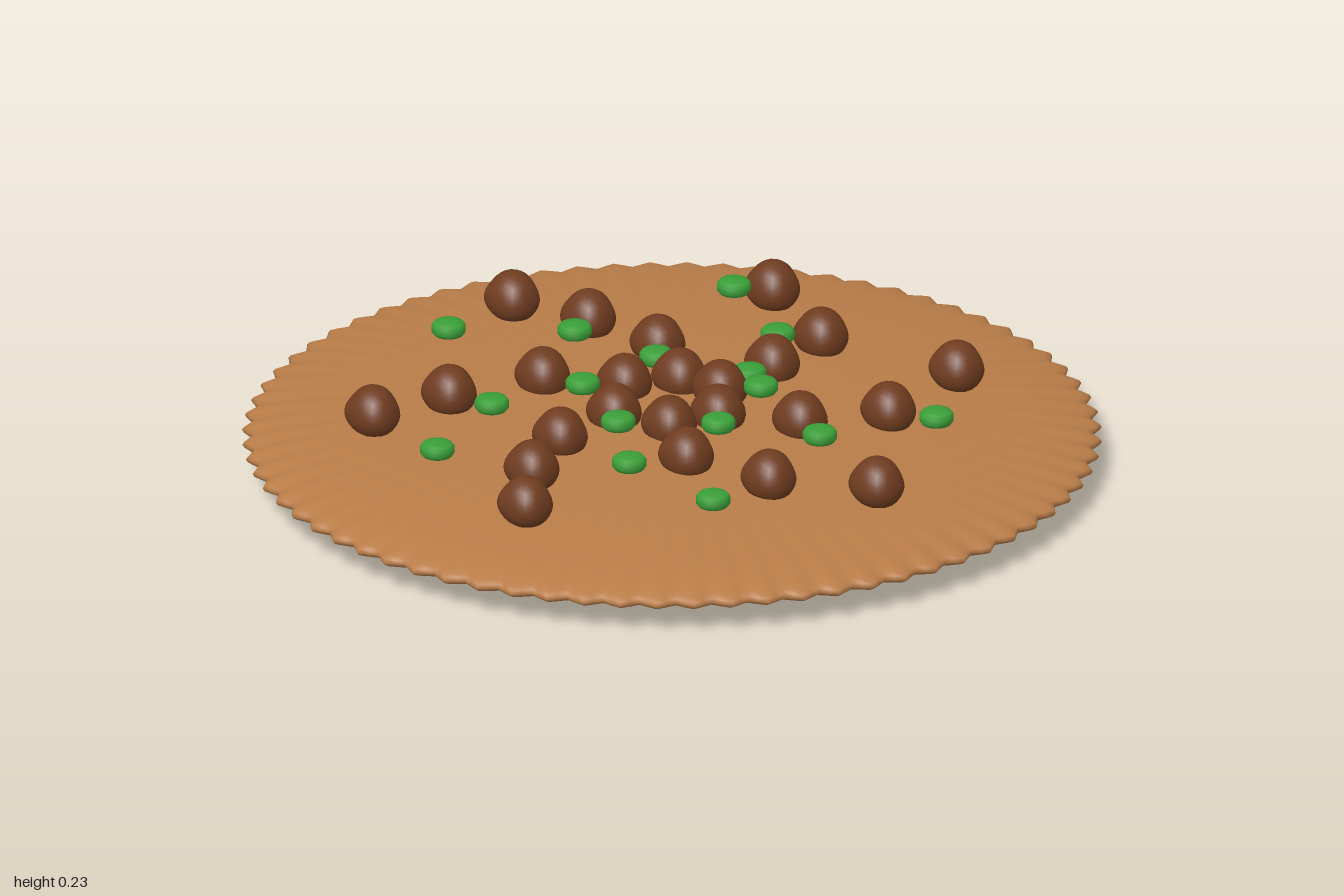
import * as THREE from 'three';
import { mergeVertices } from 'three/addons/utils/BufferGeometryUtils.js';

// Move every vertex by a rule, then weld the seams for smooth normals
function reshape(geometry, rule) {
  geometry.deleteAttribute('uv');
  geometry.deleteAttribute('normal');
  const welded = mergeVertices(geometry, 1e-4);
  const pos = welded.attributes.position;
  const v = new THREE.Vector3();
  for (let i = 0; i < pos.count; i++) {
    rule(v.fromBufferAttribute(pos, i));
    pos.setXYZ(i, v.x, v.y, v.z);
  }
  welded.computeVertexNormals();
  return welded;
}

// Flattened round base with a fluted rim
function crustGeometry() {
  const teeth = 72;
  return reshape(new THREE.SphereGeometry(1, teeth * 4, 32), (v) => {
    const ripple = 0.987 + 0.012 * Math.cos(teeth * Math.atan2(v.z, v.x));
    v.set(v.x * ripple, v.y * 0.073, v.z * ripple);
  });
}

// Lumpy ball, narrower on top and flatter underneath
function meatballGeometry() {
  return reshape(new THREE.IcosahedronGeometry(1, 4), (v) => {
    const lump = 1 + 0.05 * Math.sin(3.1 * v.x + 1.7 * v.z + 0.6)
      + 0.045 * Math.sin(4.3 * v.z - 2.2 * v.x + 1.1) * Math.cos(2.6 * v.y);
    const taper = 1 - 0.14 * v.y;
    v.set(v.x * 0.063 * lump * taper, Math.max(v.y, -0.85) * 0.06, v.z * 0.069 * lump * taper);
  });
}

// Short rounded green piece
function herbGeometry() {
  const profile = [[0, -0.019], [0.02, -0.0185], [0.034, -0.015], [0.04, -0.007],
    [0.04, 0.007], [0.034, 0.015], [0.02, 0.0185], [0, 0.019]];
  return new THREE.LatheGeometry(profile.map(([r, y]) => new THREE.Vector2(r, y)), 24);
}

export function createModel() {
  const model = new THREE.Group();
  model.name = 'toppedFlatbread';
  const material = (name, color) => {
    const m = new THREE.MeshStandardMaterial({ color });
    m.name = name;
    return m;
  };
  const crustBrown = material('crustBrown', 0xb87c48);
  const meatBrown = material('meatBrown', 0x6f3c20);
  const herbGreen = material('herbGreen', 0x3a9e38);

  const crust = new THREE.Mesh(crustGeometry(), crustBrown);
  crust.name = 'crust';
  crust.position.y = 0.075;
  model.add(crust);

  // Scatter copies of one topping at [x, z] places
  function scatter(name, geometry, mat, y, places) {
    const group = new THREE.Group();
    group.name = name + 's';
    for (const [x, z] of places) {
      const mesh = new THREE.Mesh(geometry, mat);
      mesh.name = name;
      mesh.position.set(x, y, z);
      group.add(mesh);
    }
    model.add(group);
  }

  scatter('meatball', meatballGeometry(), meatBrown, 0.174, [
    [-0.11, -0.69], [0.01, -0.52], [0.47, -0.51], [0.1, -0.32], [-0.67, -0.2], [-0.46, -0.24],
    [-0.22, -0.25], [0.465, -0.21], [-0.06, -0.14], [0.07, -0.12], [0.3, -0.11], [0.13, -0.02],
    [-0.15, 0.01], [-0.32, 0.09], [-0.06, 0.125], [0.07, 0.11], [0.68, 0.09], [-0.455, 0.24],
    [-0.095, 0.31], [0.23, 0.22], [0.44, 0.25], [-0.55, 0.425], [0.03, 0.505], [0.245, 0.64],
  ]);

  scatter('herbPiece', herbGeometry(), herbGreen, 0.184, [
    [-0.33, -0.55], [-0.065, -0.425], [0.375, -0.515], [0.05, -0.21], [0.36, -0.22], [-0.41, -0.105],
    [-0.17, -0.13], [0.21, -0.035], [0.205, 0.045], [-0.63, 0.09], [-0.18, 0.105], [0.03, 0.205],
    [-0.25, 0.335], [0.22, 0.36], [0.51, 0.37], [-0.155, 0.61],
  ]);

  return model;
}
